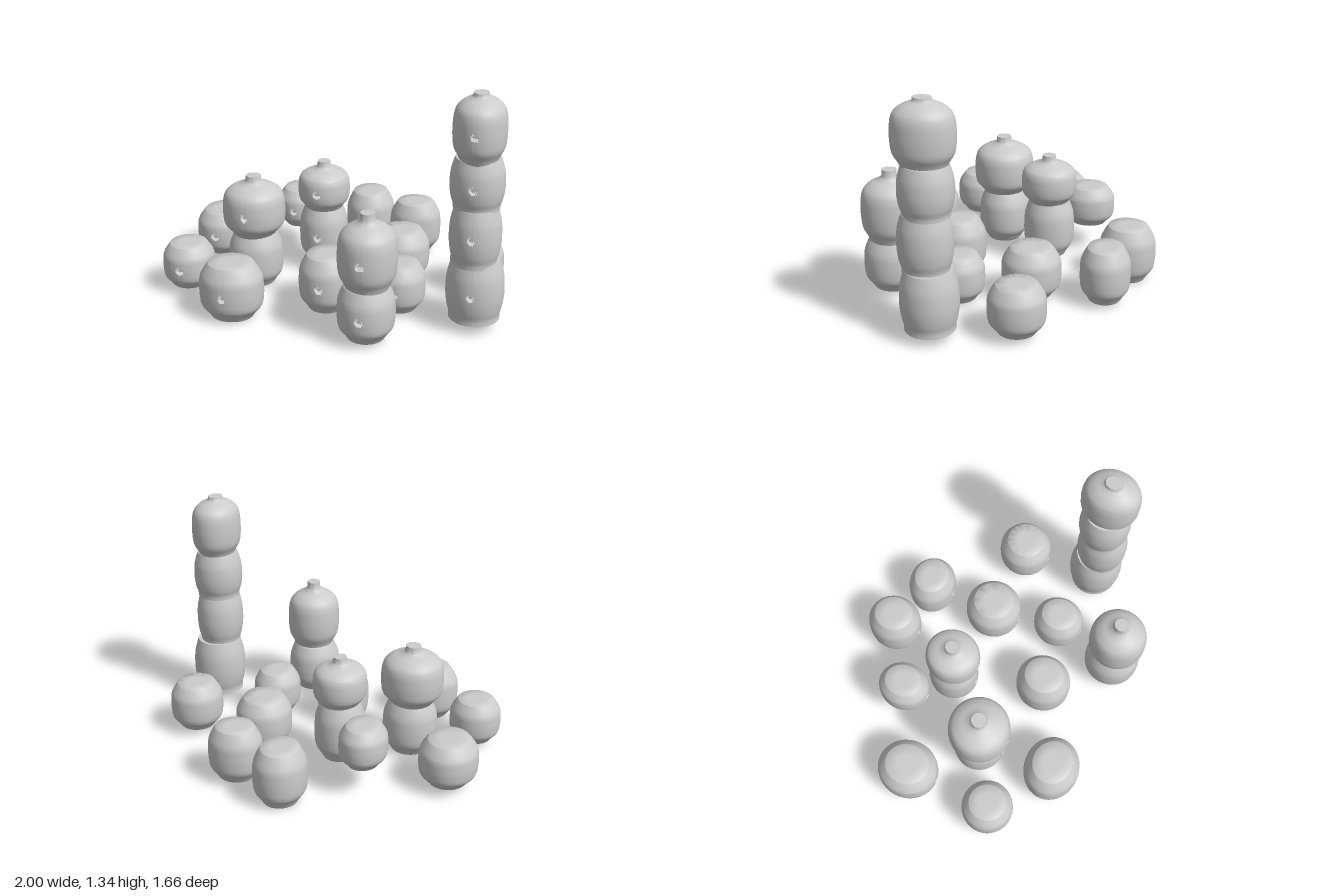
import * as THREE from 'three';
import { mergeVertices, toCreasedNormals } from 'three/addons/utils/BufferGeometryUtils.js';

const material = new THREE.MeshStandardMaterial({ color: 0xcccccc });

// Barrel pot from y0 to y1 with a dented entrance on its +z side; an optional neck rises to neckTop.
function pot(name, x, z, rx, rz, y0, y1, { bottom = 0.66, top = 0.7, neckTop = 0, neckR = 0.045, hole = (y0 + y1) / 2 } = {}) {
  const h = y1 - y0, R = (rx + rz) / 2;
  const outline = [[bottom, 0], [bottom * 0.5 + 0.44, 0.09], [0.95, 0.22], [1, 0.4], [1, 0.58], [0.97, 0.74]];
  if (neckTop) outline.push([0.88, 0.86], [0.68, 0.95], [0.48, 1]);
  else outline.push([top * 0.45 + 0.53, 0.88], [top, 1]);
  const side = new THREE.SplineCurve(outline.map(([r, t]) => new THREE.Vector2(r * R, y0 + t * h)));
  const profile = [[0, y0], [bottom * R * 0.5, y0]].map((p) => new THREE.Vector2(...p));
  profile.push(...side.getSpacedPoints(36));
  if (neckTop) {
    const n = neckTop - y1;
    profile.push(...[[neckR * 1.2, y1 + n * 0.25], [neckR, y1 + n * 0.45], [neckR * 0.95, neckTop], [0, neckTop]]
      .map((p) => new THREE.Vector2(...p)));
  } else profile.push(new THREE.Vector2(top * R * 0.5, y1), new THREE.Vector2(0, y1));

  let geo = new THREE.LatheGeometry(profile, 52, -Math.PI);
  const pos = geo.attributes.position;
  for (let i = 0; i < pos.count; i++) {
    // Crowd the segments towards the front, then stretch to an oval
    const px = pos.getX(i), y = pos.getY(i), pz = pos.getZ(i);
    const r = Math.hypot(px, pz), column = Math.floor(i / profile.length);
    const a = -Math.PI + (column / 52) * Math.PI * 2;
    const angle = a - 0.6 * Math.sin(a);
    const nx = (Math.sin(angle) * r * rx) / R;
    let nz = (Math.cos(angle) * r * rz) / R;
    // Entrance hole
    if (nz > 0.5 * rz && Math.hypot(nx, y - hole) < 0.018) nz -= 0.025;
    pos.setXYZ(i, nx, y, nz);
  }
  geo.deleteAttribute('uv');
  geo.deleteAttribute('normal');
  geo = toCreasedNormals(mergeVertices(geo), 1.15);
  const mesh = new THREE.Mesh(geo, material);
  mesh.name = name;
  mesh.position.set(x, 0, z);
  return mesh;
}

function stack(name, ...pots) {
  const group = new THREE.Group();
  group.name = name;
  group.add(...pots);
  return group;
}

export function createModel() {
  const model = new THREE.Group();
  model.name = 'potCluster';

  // Single pots: x, z, rx, rz, bottom, top
  [
    [-0.01, -0.67, 0.15, 0.163, 0.005, 0.335],
    [0.31, -0.557, 0.157, 0.143, 0.025, 0.34],
    [-0.4, -0.415, 0.135, 0.155, 0.18, 0.415],
    [-0.83, -0.2, 0.167, 0.182, 0.04, 0.305],
    [0.318, -0.14, 0.165, 0.17, 0.03, 0.32],
    [0.775, -0.115, 0.156, 0.16, 0.04, 0.32],
    [-0.85, 0.325, 0.15, 0.152, 0.04, 0.295],
    [-0.008, 0.333, 0.157, 0.165, 0.005, 0.33],
    [0.405, 0.265, 0.142, 0.152, 0.025, 0.295],
    [-0.485, 0.585, 0.182, 0.164, 0.01, 0.33],
  ].forEach((p, i) => model.add(pot(`singlePot${i + 1}`, ...p)));

  // Two-pot stacks with necked upper pots
  model.add(
    stack('backStack',
      pot('lowerPot', -0.18, -0.19, 0.145, 0.15, 0.06, 0.41, { top: 0.76 }),
      pot('upperPot', -0.177, -0.187, 0.153, 0.162, 0.4, 0.635, { bottom: 0.72, neckTop: 0.685, neckR: 0.04 })),
    stack('rightStack',
      pot('lowerPot', -0.505, 0.125, 0.16, 0.155, 0.005, 0.33, { top: 0.75 }),
      pot('upperPot', -0.51, 0.128, 0.182, 0.181, 0.315, 0.62, { bottom: 0.66, neckTop: 0.672, neckR: 0.046 })),
    stack('frontStack',
      pot('lowerPot', 0.31, 0.66, 0.157, 0.165, 0.03, 0.335, { top: 0.77 }),
      pot('upperPot', 0.315, 0.662, 0.16, 0.168, 0.325, 0.68, { bottom: 0.74, neckTop: 0.745, neckR: 0.042 })),
  );

  // Four-pot tower
  const ends = { bottom: 0.86, top: 0.82 };
  model.add(stack('tower',
    pot('towerPot1', 0.838, 0.34, 0.16, 0.16, 0.063, 0.41, { ...ends, bottom: 0.88 }),
    pot('towerPot2', 0.83, 0.355, 0.141, 0.15, 0.395, 0.722, { ...ends, hole: 0.575 }),
    pot('towerPot3', 0.828, 0.345, 0.147, 0.15, 0.71, 0.992, ends),
    pot('towerPot4', 0.83, 0.35, 0.142, 0.17, 0.98, 1.312, { bottom: 0.72, neckTop: 1.343, neckR: 0.047 })));

  return model;
}
